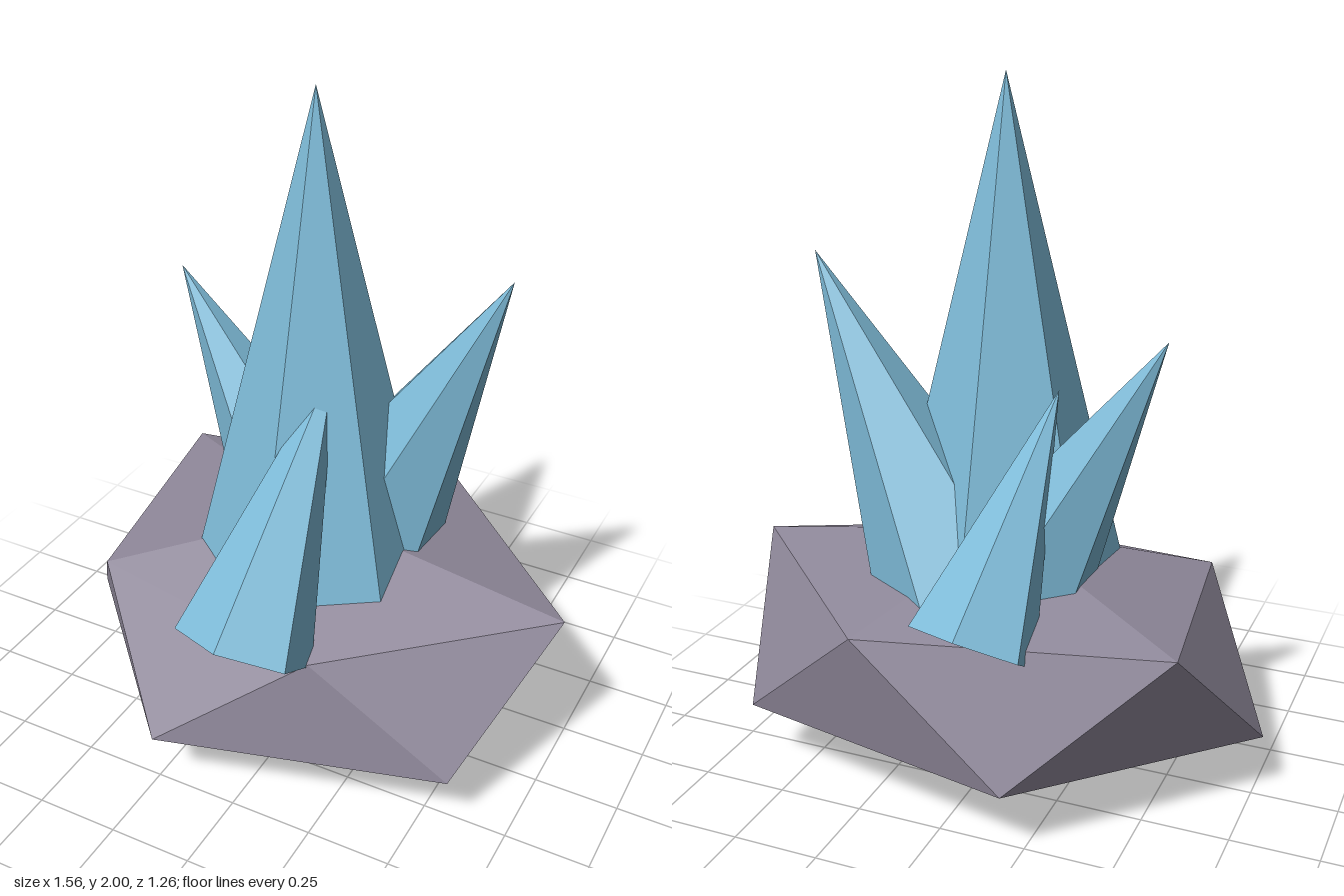
import * as THREE from 'three';

const crystalBlue = new THREE.MeshStandardMaterial({ color: 0x7ebbd8, flatShading: true });
crystalBlue.name = 'crystalBlue';
const rockGrey = new THREE.MeshStandardMaterial({ color: 0x8f889a, flatShading: true });
rockGrey.name = 'rockGrey';

// Irregular twenty-sided boulder: two staggered rings of five between two poles
function rock() {
  const top = [0, 0.71, -0.02], bottom = [0, 0, -0.02];
  const upper = [[0.78, 0.59, -0.02], [0.2, 0.53, 0.41], [-0.53, 0.56, 0.3], [-0.63, 0.595, -0.41], [0.22, 0.575, -0.58]];
  const lower = [[0.6, 0.21, 0.34], [-0.22, 0.21, 0.57], [-0.78, 0.2, -0.02], [-0.22, 0.21, -0.6], [0.64, 0.2, -0.41]];
  const points = [];
  for (let k = 0; k < 5; k++) {
    const n = (k + 1) % 5;
    points.push(
      ...top, ...upper[n], ...upper[k],
      ...upper[k], ...upper[n], ...lower[k],
      ...lower[k], ...upper[n], ...lower[n],
      ...bottom, ...lower[k], ...lower[n],
    );
  }
  const geometry = new THREE.BufferGeometry();
  geometry.setAttribute('position', new THREE.Float32BufferAttribute(points, 3));
  geometry.computeVertexNormals();
  const mesh = new THREE.Mesh(geometry, rockGrey);
  mesh.name = 'rock';
  return mesh;
}

// Six-sided spike from the middle of its base to its tip, one edge turned towards z
function crystal(name, base, tip, radius) {
  const start = new THREE.Vector3(...base), end = new THREE.Vector3(...tip);
  const length = start.distanceTo(end);
  const axis = end.clone().sub(start).normalize();
  const side = new THREE.Vector3().crossVectors(axis, new THREE.Vector3(0, 0, 1)).normalize();
  const front = new THREE.Vector3().crossVectors(side, axis);
  const mesh = new THREE.Mesh(new THREE.ConeGeometry(radius, length, 6), crystalBlue);
  mesh.quaternion.setFromRotationMatrix(new THREE.Matrix4().makeBasis(side, axis, front));
  mesh.position.copy(start).lerp(end, 0.5);
  mesh.name = name;
  return mesh;
}

export function createModel() {
  const model = new THREE.Group();
  model.name = 'crystalCluster';
  model.add(
    rock(),
    crystal('centreCrystal', [0, 0.45, -0.02], [0, 2, -0.02], 0.38),
    crystal('leftCrystal', [0.06, 0.55, -0.16], [0.51, 1.51, -0.16], 0.27),
    crystal('rightCrystal', [-0.05, 0.55, -0.14], [-0.5, 1.35, -0.14], 0.24),
    crystal('frontCrystal', [0.03, 0.565, 0.46], [0.088, 1.28, 0.03], 0.197),
    crystal('backCrystal', [-0.093, 0.565, -0.48], [-0.195, 1.18, -0.12], 0.18),
  );
  return model;
}
